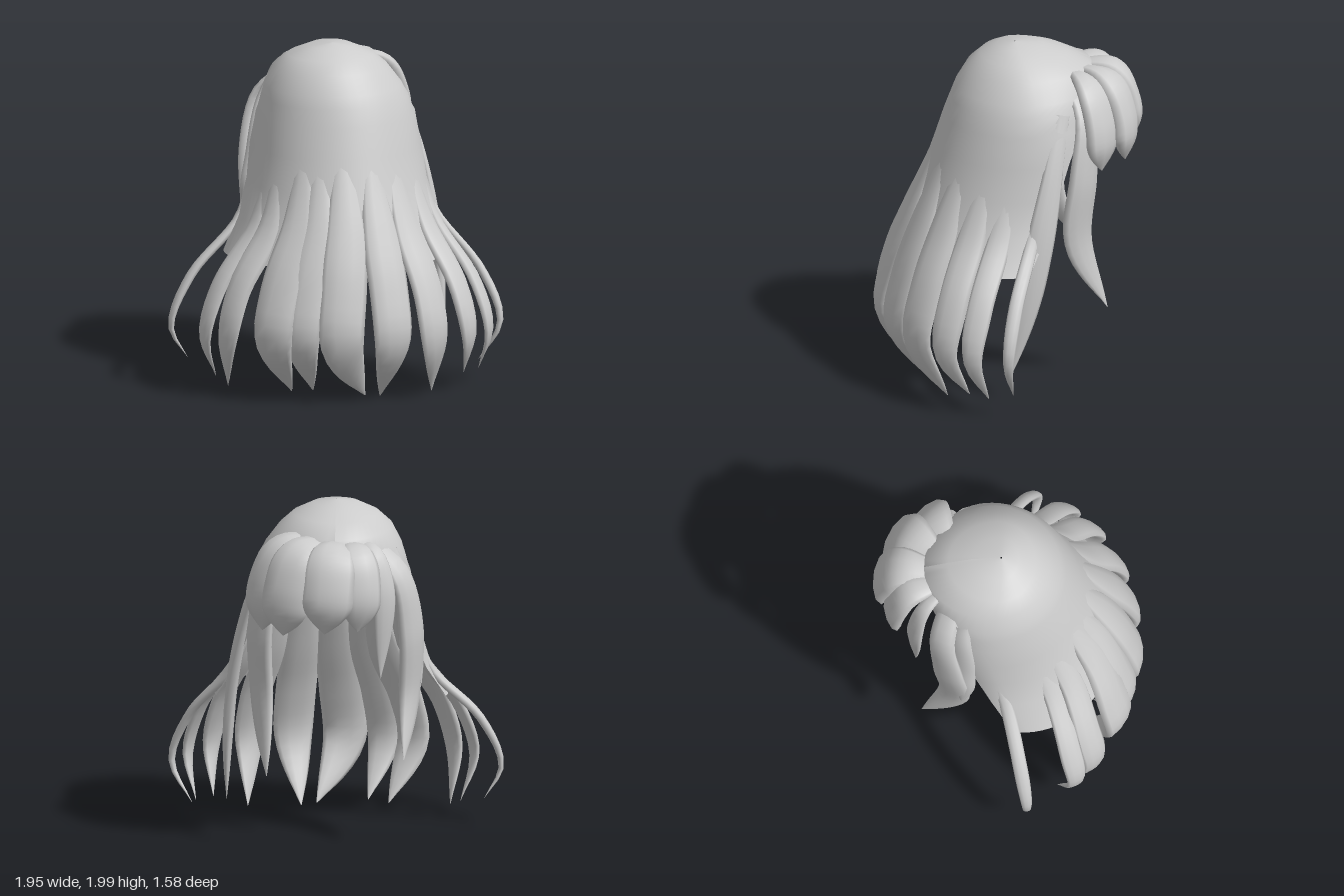
import * as THREE from 'three';

// Shell rows: height, half width, z centre, depth to +z, depth to -z, half sweep angle
const ROWS = [
  [2.0, 0.005, -0.04, 0.005, 0.005, Math.PI],
  [1.985, 0.13, -0.04, 0.1, 0.17, Math.PI],
  [1.93, 0.25, -0.06, 0.22, 0.29, Math.PI],
  [1.86, 0.33, -0.08, 0.32, 0.41, Math.PI],
  [1.75, 0.4, -0.09, 0.4, 0.42, Math.PI],
  [1.68, 0.43, -0.1, 0.44, 0.4, 2.75],
  [1.58, 0.465, -0.1, 0.48, 0.4, 2.3],
  [1.4, 0.5, -0.1, 0.54, 0.4, 2.0],
  [1.2, 0.525, -0.05, 0.56, 0.4, 1.95],
  [1.0, 0.58, 0, 0.58, 0.4, 1.85],
  [0.8, 0.68, 0.08, 0.575, 0.38, 1.75],
];

// The head leans slightly to +x below the crown
function surface([y, w, cz, back, face], t) {
  const c = Math.cos(t), cx = 0.03 * THREE.MathUtils.smoothstep(2 - y, 0.1, 0.4);
  return new THREE.Vector3(cx + w * Math.sin(t), y, cz + c * (c > 0 ? back : face));
}

// Shell point at any height
function shellAt(y, t) {
  let i = 0;
  while (i < ROWS.length - 2 && ROWS[i + 1][0] > y) i++;
  const a = ROWS[i], b = ROWS[i + 1], k = (a[0] - y) / (a[0] - b[0]);
  return surface(a.map((v, n) => v + (b[n] - v) * k), t);
}

function gridGeometry(pos, idx) {
  const g = new THREE.BufferGeometry();
  g.setAttribute('position', new THREE.Float32BufferAttribute(pos, 3));
  g.setIndex(idx);
  g.computeVertexNormals();
  return g;
}

// Crown and back: open sheet swept around the head
function shellGeometry() {
  const N = 48, pos = [], idx = [];
  ROWS.forEach((row, r) => {
    for (let c = 0; c <= N; c++) {
      pos.push(...surface(row, row[5] * (2 * c / N - 1)).toArray());
      if (r < ROWS.length - 1 && c < N) {
        const a = r * (N + 1) + c, b = a + N + 1;
        idx.push(a, b, a + 1, a + 1, b, b + 1);
      }
    }
  });
  return gridGeometry(pos, idx);
}

// Tapered lock with a flattened section, facing outward from the head
function lockGeometry(points, width, thick, rootWidth, taperFrom) {
  const S = 24, R = 10, pos = [], idx = [];
  const curve = new THREE.CatmullRomCurve3(points);
  for (let i = 0; i <= S; i++) {
    const s = i / S, p = curve.getPointAt(s), T = curve.getTangentAt(s);
    const out = new THREE.Vector3(p.x, Math.max(0, p.y - 1.35) * 1.2, p.z + 0.05);
    out.addScaledVector(T, -out.dot(T)).normalize();
    const side = new THREE.Vector3().crossVectors(T, out);
    const grow = rootWidth + (1 - rootWidth) * THREE.MathUtils.smoothstep(s, 0, 0.5);
    const taper = 1 - Math.pow(Math.max(0, s - taperFrom) / (1 - taperFrom), 1.8);
    const k = Math.max(grow * taper, 0.02);
    for (let j = 0; j < R; j++) {
      const a = j / R * Math.PI * 2;
      const v = p.clone().addScaledVector(side, Math.cos(a) * width * k)
        .addScaledVector(out, Math.sin(a) * thick * k);
      pos.push(v.x, v.y, v.z);
      if (i < S) {
        const q = i * R + j, n = i * R + (j + 1) % R;
        idx.push(q, q + R, n, n, q + R, n + R);
      }
    }
  }
  return gridGeometry(pos, idx);
}

// Long lock: emerges from the shell, flares onto a wide ellipse, then curls in to its tip
function longLockPath(t, tipX, tipY) {
  const path = [1.6, 1.4, 1.2, 0.97].map((y) => {
    const p = shellAt(y, t * 1.15), inset = 0.008 + (y - 0.97) * 0.04;
    p.x *= 1 - 2 * inset;
    p.z -= inset * Math.cos(t);
    return p;
  });
  const z = 0.1 + 0.64 * Math.cos(t) + 0.1 * Math.min(0, Math.sin(t));
  const low = new THREE.Vector3(0.97 * Math.sin(t), 0.36, z);
  const middle = path[3].clone().lerp(low, 0.7).setY(0.66);
  return [...path, middle, low, new THREE.Vector3(tipX, tipY, z * 0.72)];
}

// Fringe lock: fans out from the parting over the forehead, then drops and tucks in
function fringePath(a, tipY) {
  const at = (r, y, shift) => new THREE.Vector3(
    0.04 + shift + 0.4 * r * Math.sin(a), y, -0.3 - 0.42 * r * Math.cos(a));
  return [at(0.2, 1.82, -0.07), at(0.76, 1.8, -0.02), at(1, 1.6, 0), at(1, tipY, 0.02)];
}

// Lock beside the face, mirrored by side
function facePath(side, tipY) {
  const at = (x, y, z) => new THREE.Vector3(side * x, y, z);
  return [at(0.2, 1.8, -0.33), at(0.37, 1.64, -0.39), at(0.44, 1.3, -0.36),
    at(0.43, 0.9, -0.33), at(0.4, tipY, -0.51)];
}

export function createModel() {
  const model = new THREE.Group();
  model.name = 'hair';
  const grey = new THREE.MeshStandardMaterial({ color: 0xcccccc, side: THREE.DoubleSide });
  grey.name = 'hair grey';
  const add = (name, geometry) => {
    const m = new THREE.Mesh(geometry, grey);
    m.name = name;
    model.add(m);
  };
  add('crownShell', shellGeometry());

  // Angle round the head, half width, tip x, tip y
  const longLocks = [
    [-1.43, 0.042, -0.86, 0.17], [-0.97, 0.07, -0.72, 0.1],
    [-0.78, 0.09, -0.66, 0.06], [-0.46, 0.13, -0.3, 0.04],
    [-0.28, 0.11, -0.18, 0.05], [-0.04, 0.135, 0.12, 0.02],
    [0.27, 0.125, 0.21, 0.01], [0.56, 0.115, 0.52, 0.02],
    [0.86, 0.095, 0.72, 0.1], [1.11, 0.075, 0.82, 0.1],
    [1.43, 0.042, 0.84, 0.12],
  ];
  for (const [t, w, x, y] of longLocks) {
    add('longLock', lockGeometry(longLockPath(t, x, y), w, Math.max(w * 0.36, 0.025), 0.3, 0.68));
  }

  // Angle across the forehead, half width, tip height, start of taper
  const fringe = [[0, 0.15, 1.36, 0.74], [0.65, 0.15, 1.33, 0.78], [1.15, 0.14, 1.32, 0.78],
    [-0.5, 0.12, 1.36, 0.74], [-0.95, 0.07, 1.05, 0.5]];
  for (const [a, w, y, taper] of fringe) {
    add('fringeLock', lockGeometry(fringePath(a, y), w, w * 0.4, 0.5, taper));
  }

  add('leftFaceLock', lockGeometry(facePath(1, 0.45), 0.115, 0.045, 0.7, 0.58));
  add('rightFaceLock', lockGeometry(facePath(-1, 0.55), 0.11, 0.045, 0.7, 0.58));

  // Temple locks along the edge of the shell: short on the right, long on the left
  add('rightTempleLock', lockGeometry([1.75, 1.6, 1.3, 0.95].map(
    (y) => new THREE.Vector3(-shellAt(y, 1.9).x * 0.83, y, -0.28)), 0.09, 0.04, 0.6, 0.7));
  add('leftTempleLock', lockGeometry([1.68, 1.5, 1.3, 0.95, 0.55, 0.15].map(
    (y) => new THREE.Vector3(0.64 - 0.28 * y ** 3 / 5.8, y, 0.15 - 0.23 * y)), 0.085, 0.035, 0.6, 0.6));
  return model;
}
